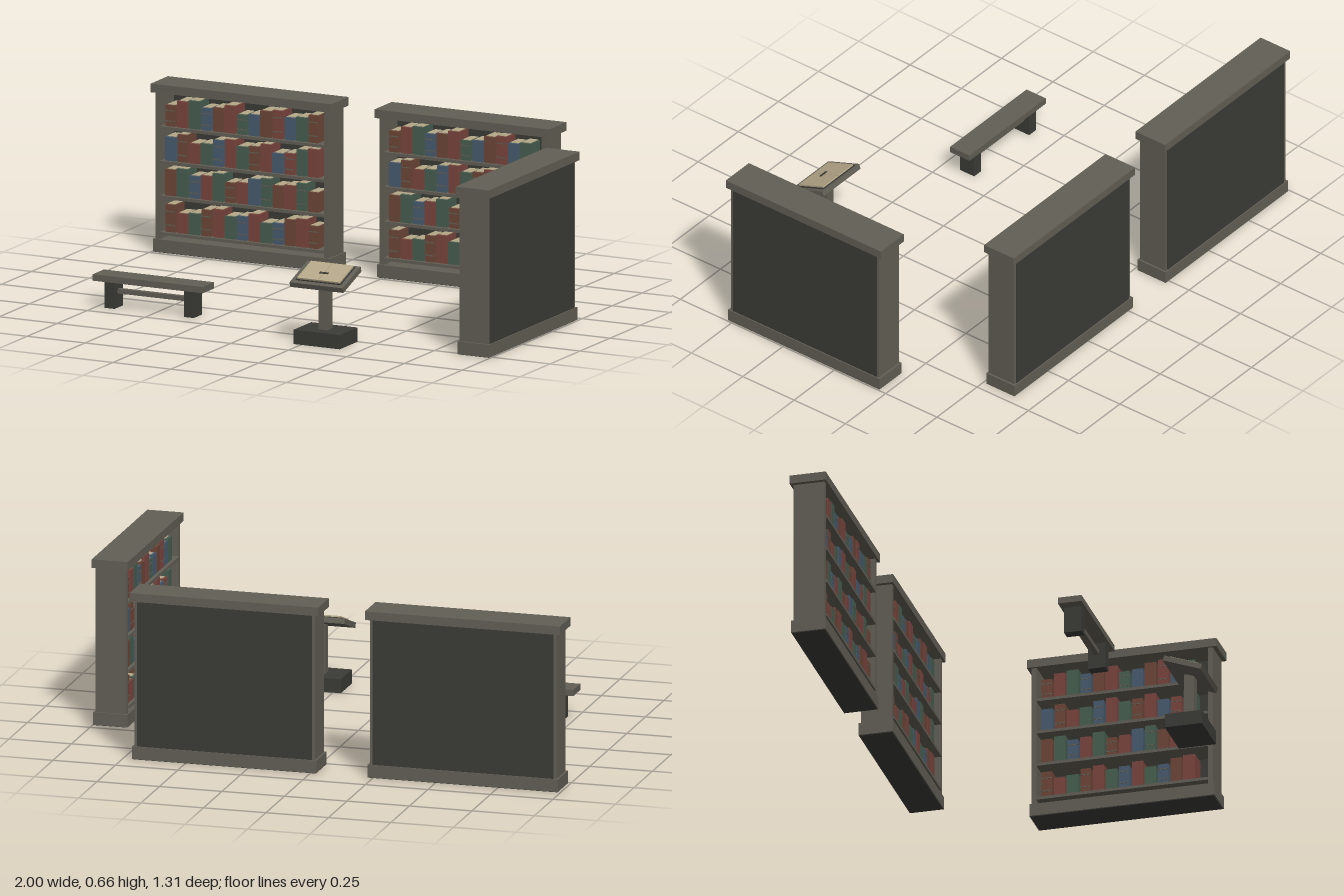
import * as THREE from 'three';

const mat = (color) => new THREE.MeshStandardMaterial({ color, flatShading: true });
const wood = mat(0x625f55);
const dark = mat(0x3b3c37);
const paper = mat(0xb5a888);
const covers = {
  b: mat(0x6e4638), r: mat(0x7c453e), g: mat(0x475f50), u: mat(0x475c70),
};

// Box given by its centre and size, added to a parent
function box(parent, name, [w, h, d], [x, y, z], material = wood) {
  const mesh = new THREE.Mesh(new THREE.BoxGeometry(w, h, d), material);
  mesh.name = name;
  mesh.position.set(x, y, z);
  parent.add(mesh);
  return mesh;
}

// One upright book: cover, page block showing at the top, bands on the spine
function book(parent, x, y, height, width, key, banded) {
  const g = new THREE.Group();
  g.name = 'book';
  g.position.set(x, y, 0.012);
  box(g, 'cover', [width, height, 0.08], [0, height / 2, 0], covers[key]);
  box(g, 'pages', [width * 0.78, height, 0.066], [0, height / 2 + 0.002, -0.004], paper);
  if (banded) {
    for (const t of [0.25, 0.75]) {
      box(g, 'spineBand', [width, 0.004, 0.002], [0, height * t, 0.0405], wood);
    }
  }
  parent.add(g);
}

const rowColours = ['brgbrgurgubrb', 'bgurgbrugbrgb', 'ubrgurgbrurgr', 'brgubrgubrugb'];
const shelfLevels = [0.075, 0.218, 0.355, 0.491];
const bookHeights = [0.108, 0.088, 0.103, 0.078, 0.094, 0.11, 0.083];

// Bookcase facing +z, centred on its own x and z; width is that of the cap
function bookcase(name, width, count) {
  const g = new THREE.Group();
  g.name = name;
  const body = width - 0.034;
  const side = 0.02;
  box(g, 'cap', [width, 0.034, 0.144], [0, 0.645, 0]);
  box(g, 'base', [width - 0.018, 0.05, 0.137], [0, 0.027, 0]);
  box(g, 'baseUnderside', [width - 0.026, 0.004, 0.13], [0, 0.002, 0], dark);
  for (const s of [-1, 1]) {
    box(g, 'sidePanel', [side, 0.58, 0.124], [s * (body - side) / 2, 0.34, 0.001]);
  }
  box(g, 'backPanel', [body - 0.022, 0.58, 0.014], [0, 0.34, -0.057], dark);
  shelfLevels.forEach((y, row) => {
    box(g, 'shelf', [body - 2 * side, 0.012, 0.118], [0, y, 0.007]);
    for (let i = 0; i < count; i++) {
      const h = bookHeights[(i * 3 + row * 2) % bookHeights.length];
      const w = 0.041 + 0.003 * ((i + row) % 3);
      const x = -body / 2 + side + 0.037 + i * 0.0515;
      book(g, x, y + 0.006, h, w, rowColours[row][i], (i + row) % 3 === 0);
    }
  });
  return g;
}

function bench() {
  const g = new THREE.Group();
  g.name = 'bench';
  box(g, 'seat', [0.476, 0.025, 0.094], [0, 0.117, 0]);
  for (const s of [-1, 1]) {
    box(g, 'leg', [0.043, 0.105, 0.07], [s * 0.171, 0.0525, 0], dark);
  }
  box(g, 'stretcher', [0.3, 0.018, 0.02], [0, 0.065, 0]);
  return g;
}

function lectern() {
  const g = new THREE.Group();
  g.name = 'lectern';
  box(g, 'foot', [0.2, 0.056, 0.148], [0, 0.028, 0], dark);
  box(g, 'column', [0.04, 0.2, 0.04], [0, 0.152, 0]);
  // Sloping desk with an open book, lower towards the reader
  const desk = new THREE.Group();
  desk.name = 'desk';
  desk.position.set(0, 0.26, 0);
  desk.rotation.x = 0.35;
  box(desk, 'board', [0.23, 0.021, 0.16], [0, 0, 0]);
  box(desk, 'openBookCover', [0.194, 0.004, 0.132], [0, 0.012, -0.006], dark);
  for (const s of [-1, 1]) {
    box(desk, 'openPage', [0.091, 0.007, 0.125], [s * 0.0465, 0.0165, -0.006], paper);
  }
  box(desk, 'bookmark', [0.038, 0.003, 0.009], [0, 0.021, 0.006], dark);
  g.add(desk);
  return g;
}

export function createModel() {
  const model = new THREE.Group();
  model.name = 'readingRoom';

  const rightCase = bookcase('rightBookcase', 0.78, 13);
  rightCase.position.set(-0.61, 0, -0.584);
  const leftCase = bookcase('leftBookcase', 0.755, 12);
  leftCase.position.set(0.344, 0, -0.584);
  // Side case faces into the room, towards -x
  const sideCase = bookcase('sideBookcase', 0.755, 12);
  sideCase.position.set(0.928, 0, 0.151);
  sideCase.rotation.y = -Math.PI / 2;

  const seat = bench();
  seat.position.set(-0.52, 0, 0.392);
  const stand = lectern();
  stand.position.set(0.318, 0, 0.574);

  model.add(rightCase, leftCase, sideCase, seat, stand);
  return model;
}
